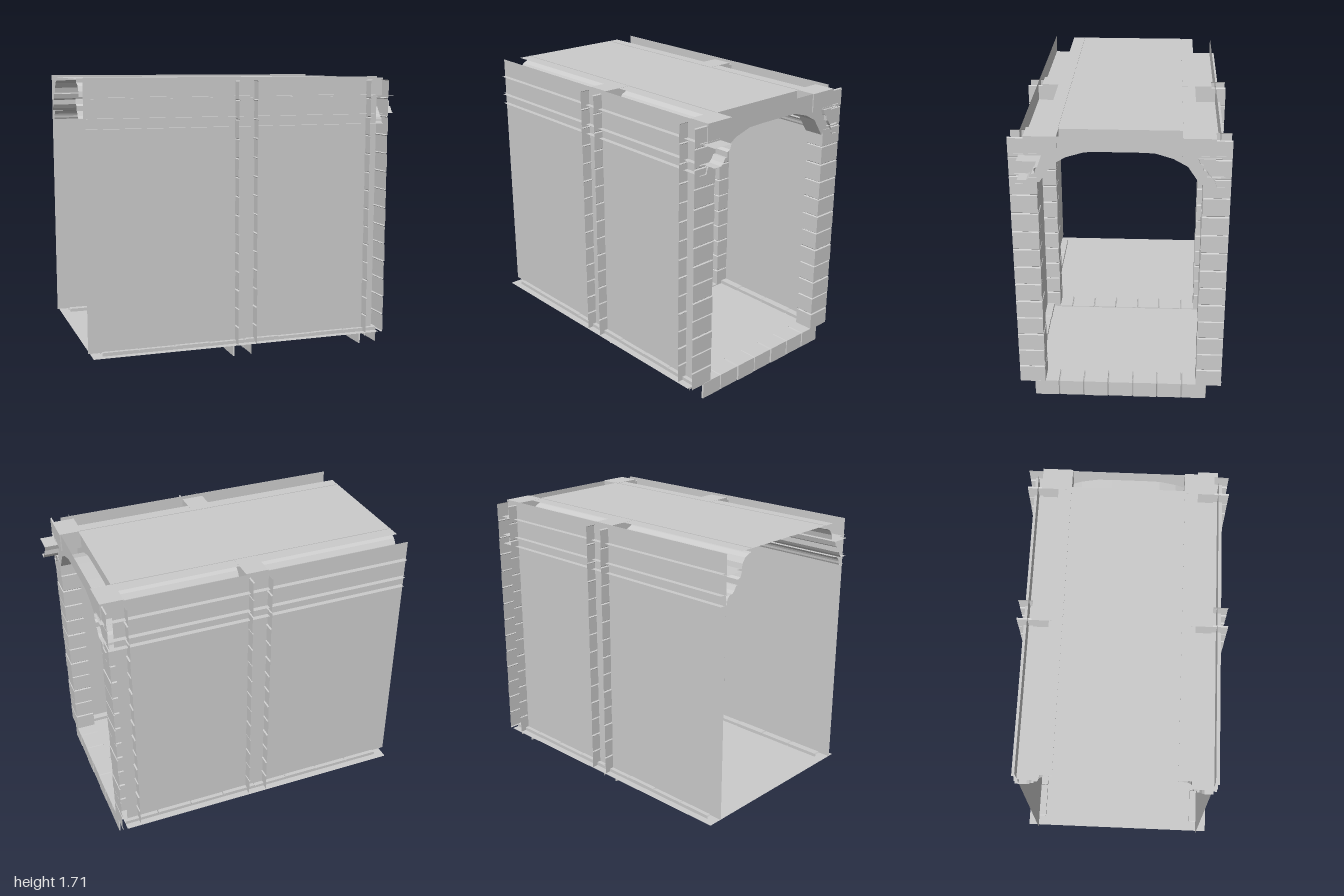
import * as THREE from 'three';

const material = new THREE.MeshStandardMaterial({ color: 0xcccccc, side: THREE.DoubleSide });

// Surface through rows of [x, y, z] points, flat shaded
function surface(name, rows) {
  const w = rows[0].length, index = [];
  for (let r = 0; r < rows.length - 1; r++) {
    for (let c = 0; c < w - 1; c++) {
      const a = r * w + c, b = a + 1, d = a + w, e = d + 1;
      index.push(a, b, e, a, e, d);
    }
  }
  let geo = new THREE.BufferGeometry();
  geo.setAttribute('position', new THREE.Float32BufferAttribute(rows.flat(2), 3));
  geo.setIndex(index);
  geo = geo.toNonIndexed();
  geo.computeVertexNormals();
  return mesh(name, geo);
}

function mesh(name, geo) {
  const m = new THREE.Mesh(geo, material);
  m.name = name;
  return m;
}

// Profile of [z, y] points swept along x
const sweep = (name, profile, x0, x1) =>
  surface(name, [x0, x1].map(x => profile.map(([z, y]) => [x, y, z])));

// Stone course boundaries with narrow sunken joints: pairs of [position, inset]
function courses(start, end, count) {
  const out = [], step = (end - start) / count, bevel = 0.005;
  for (let i = 0; i < count; i++) {
    const a = start + i * step, b = a + step;
    const bulge = 0.0015 * Math.sin(i * 2.7);
    out.push([a, 0.007], [a + bevel, bulge], [b - bevel, bulge], [b, 0.007]);
  }
  return out;
}

const W = 0.06; // half width of a frame

// Open-backed stone pilaster
function pilaster() {
  return surface('pilaster', courses(0.09, 1.69, 14).map(([y, i]) => [
    [-W + i, y, 0.608], [-W + i, y, 0.455 + i], [W - i, y, 0.455 + i], [W - i, y, 0.608]]));
}

// Stone band set into the floor, open below
function floorBand() {
  return surface('floorBand', courses(-0.52, 0.52, 7).map(([z, i]) => [
    [-W + i, 0, z], [-W + i, 0.1 - i, z], [W - i, 0.1 - i, z], [W - i, 0, z]]));
}

// Hollow arch: two faces and a soffit, open on top
function arch() {
  const g = new THREE.Group();
  g.name = 'arch';
  const half = [[0.52, 1.43], [0.44, 1.43], [0.37, 1.535], [0.29, 1.58], [0.19, 1.61], [0.1, 1.613]];
  const curve = [...half, ...half.map(([z, y]) => [-z, y]).reverse()];
  const shape = new THREE.Shape([...curve, [-0.52, 1.7], [0.52, 1.7]].map(([z, y]) => new THREE.Vector2(z, y)));
  for (const x of [-W, W]) {
    const face = mesh('archFace', new THREE.ShapeGeometry(shape));
    face.rotation.y = -Math.PI / 2;
    face.position.x = x;
    g.add(face);
  }
  g.add(sweep('archSoffit', curve, -W, W));
  // Blocks at the shoulders
  for (const s of [1, -1]) {
    const block = mesh('shoulderBlock', new THREE.BoxGeometry(0.136, 0.112, 0.18));
    block.position.set(0, 1.645, s * 0.43);
    g.add(block);
  }
  return g;
}

function frame(x) {
  const g = new THREE.Group();
  g.name = 'frame';
  g.position.x = x;
  const far = pilaster();
  far.scale.z = -1;
  g.add(pilaster(), far, floorBand(), arch());
  return g;
}

// Wall with cornice, ceiling trim and kerb; mirrored for the other side
function side(s) {
  const g = new THREE.Group();
  g.name = s > 0 ? 'frontSide' : 'backSide';
  g.scale.z = s;
  g.add(sweep('wall', [[0.545, 0.11], [0.545, 1.71]], -0.98, 0.86));

  // Stepped cornice core, then the cove and the flanges running through the wall
  const steps = [[0.55, 1.48], [0.5, 1.48], [0.485, 1.495], [0.47, 1.52], [0.455, 1.52],
    [0.455, 1.55], [0.435, 1.56], [0.425, 1.59], [0.55, 1.59]];
  g.add(sweep('corniceCore', steps, s > 0 ? -1 : -0.985, s > 0 ? 1 : 0.93));
  const cove = [[0.575, 1.42], [0.53, 1.42]];
  for (let i = 0; i <= 6; i++) {
    const t = i / 6 * Math.PI / 2;
    cove.push([0.475 + 0.05 * Math.cos(t), 1.43 + 0.05 * Math.sin(t)]);
  }
  cove.push([0.575, 1.48]);
  g.add(sweep('corniceCove', cove, -0.97, 0.92));
  g.add(sweep('corniceShelf', [[0.575, 1.6], [0.422, 1.6]], -0.97, 0.92));

  // Curved trim under the ceiling
  g.add(sweep('ceilingTrim', [[0.422, 1.6], [0.415, 1.63], [0.395, 1.66], [0.365, 1.675],
    [0.342, 1.68], [0.342, 1.703]], -0.98, 0.8));

  // Kerb stones along the foot of the wall
  g.add(surface('kerb', courses(-0.9, 0.88, 8).map(([x, i]) => [
    [x, 0.08, 0.5 + i], [x, 0.115 - i, 0.5 + i], [x, 0.115 - i, 0.57], [x, 0.08, 0.57]])));
  return g;
}

export function createModel() {
  const model = new THREE.Group();
  model.name = 'corridor';
  const body = new THREE.Group();
  body.name = 'corridorBody';
  body.position.z = 0.005;
  body.add(
    sweep('floor', [[0.613, 0.094], [-0.613, 0.094]], -0.96, 0.88),
    sweep('ceiling', [[0.42, 1.7], [-0.42, 1.7]], -0.98, 0.8),
    side(1), side(-1), frame(-0.01), frame(0.85));
  model.add(body);
  return model;
}
